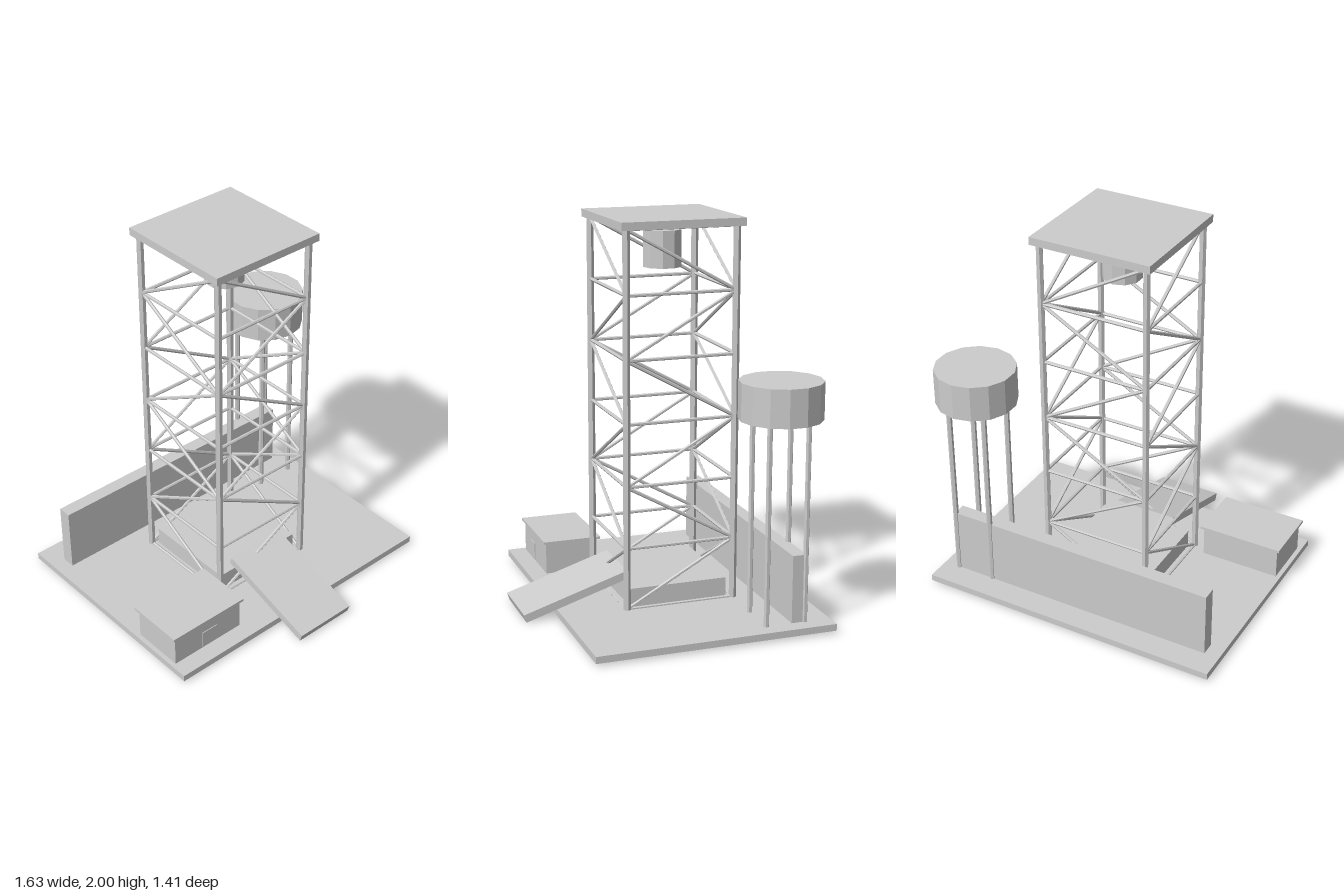
import * as THREE from 'three';

export function createModel() {
  const model = new THREE.Group();
  model.name = 'towerSite';
  const grey = new THREE.MeshStandardMaterial({ color: 0xcccccc, side: THREE.DoubleSide });
  grey.name = 'plain grey';

  const group = (name) => {
    const g = new THREE.Group();
    g.name = name;
    model.add(g);
    return g;
  };
  const add = (parent, name, geometry) => {
    const mesh = new THREE.Mesh(geometry, grey);
    mesh.name = name;
    parent.add(mesh);
    return mesh;
  };
  // Box given by its limits on each axis
  const box = (parent, name, [x0, x1], [y0, y1], [z0, z1]) => {
    const mesh = add(parent, name, new THREE.BoxGeometry(x1 - x0, y1 - y0, z1 - z0));
    mesh.position.set((x0 + x1) / 2, (y0 + y1) / 2, (z0 + z1) / 2);
    return mesh;
  };
  // Faceted upright prism
  const prism = (parent, name, r, sides, x, z, y0, y1, turn = 0) => {
    const geo = new THREE.CylinderGeometry(r, r, y1 - y0, sides).toNonIndexed();
    geo.computeVertexNormals();
    const mesh = add(parent, name, geo);
    mesh.position.set(x, (y0 + y1) / 2, z);
    mesh.rotation.y = turn;
    return mesh;
  };
  // Faceted bar between two points
  const up = new THREE.Vector3(0, 1, 0);
  const bar = (parent, name, a, b, r) => {
    const dir = b.clone().sub(a);
    const mesh = prism(parent, name, r, 6, 0, 0, 0, dir.length());
    mesh.position.copy(a).add(b).multiplyScalar(0.5);
    mesh.quaternion.setFromUnitVectors(up, dir.normalize());
  };

  // Ground slab, a shallow shell open underneath
  const slab = box(model, 'groundSlab', [-0.818, 0.8], [0.018, 0.053], [-0.705, 0.533]);
  const index = Array.from(slab.geometry.index.array);
  index.splice(18, 6);
  slab.geometry.setIndex(index);
  slab.geometry.clearGroups();

  // Lattice tower
  const tower = group('tower');
  const cx = -0.009, cz = -0.083, half = 0.285;
  const y0 = 0.055, bay = 0.318;
  const corners = [[1, 1], [1, -1], [-1, -1], [-1, 1]].map(([i, j]) => [cx + i * half, cz + j * half]);
  for (const [x, z] of corners) prism(tower, 'towerLeg', 0.0185, 6, x, z, 0.045, 1.965, Math.PI / 6);

  // Each face zigzags from its low corner to its high corner
  const faces = [[3, 0], [2, 1], [0, 1], [3, 2]];
  const at = (c, level) => new THREE.Vector3(corners[c][0], y0 + bay * level, corners[c][1]);
  for (const [a, b] of faces) {
    for (let k = 0; k <= 6; k++) bar(tower, 'crossBar', at(a, k), at(b, k), 0.009);
    for (let k = 0; k < 6; k++) {
      const [from, to] = k % 2 ? [b, a] : [a, b];
      bar(tower, 'diagonalBrace', at(from, k), at(to, k + 1), 0.009);
    }
  }
  box(tower, 'towerRoof', [-0.328, 0.311], [1.96, 2], [-0.403, 0.237]);
  prism(tower, 'hangingDrum', 0.1, 10, cx, cz - 0.001, 1.735, 1.922);
  box(tower, 'towerPad', [-0.267, 0.249], [0.05, 0.15], [-0.341, 0.174]);

  // Loading ramp
  const ramp = add(model, 'ramp', new THREE.BoxGeometry(0.34, 0.042, 0.57));
  ramp.position.set(-0.01, 0.11, 0.427);
  ramp.rotation.x = 0.306;

  // Back wall
  box(model, 'backWall', [-0.738, 0.718], [0.035, 0.4], [-0.573, -0.5]);

  // Raised tank on four legs
  const tank = group('waterTank');
  const tx = 0.61, tz = -0.468;
  prism(tank, 'tankDrum', 0.208, 14, tx, tz, 1.065, 1.255);
  for (const i of [-1, 1])
    for (const j of [-1, 1])
      prism(tank, 'tankLeg', 0.0145, 6, tx + i * 0.104, tz + j * 0.102, 0.033, 1.07);

  // Small hut with flat roof and hatch
  const hut = group('hut');
  box(hut, 'hutWalls', [-0.794, -0.37], [0.05, 0.219], [0.157, 0.439]);
  box(hut, 'hutRoof', [-0.81, -0.355], [0.219, 0.233], [0.141, 0.453]);
  box(hut, 'hutHatch', [-0.63, -0.537], [0.077, 0.17], [0.453, 0.457]);

  return model;
}
